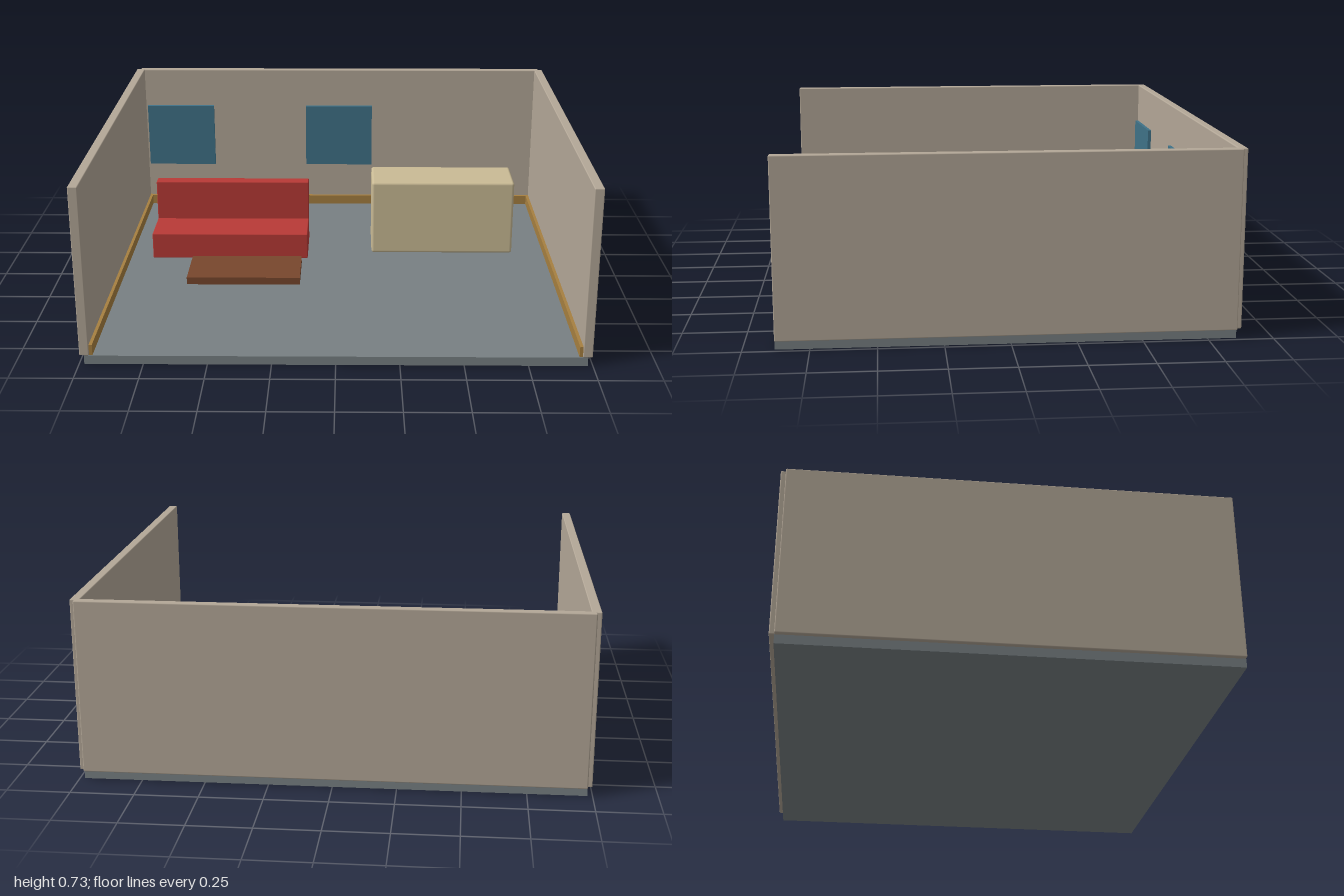
import * as THREE from 'three';
import { RoundedBoxGeometry } from 'three/addons/geometries/RoundedBoxGeometry.js';

function makeMaterial(name, color) {
  const material = new THREE.MeshStandardMaterial({ color });
  material.name = name;
  return material;
}

export function createModel() {
  const room = new THREE.Group();
  room.name = 'livingRoom';

  const plaster = makeMaterial('plaster', 0xb3a797);
  const slate = makeMaterial('slate floor', 0x788083);
  const oak = makeMaterial('oak trim', 0xa67f40);
  const glass = makeMaterial('blue glass', 0x3f7288);
  const red = makeMaterial('red fabric', 0xb83a36);
  const walnut = makeMaterial('walnut', 0x78472d);
  const cream = makeMaterial('cream paint', 0xcabb95);

  // Box given by its limits on each axis, with softened edges when radius > 0
  function box(name, material, [x0, x1], [y0, y1], [z0, z1], radius = 0, parent = room) {
    const size = [x1 - x0, y1 - y0, z1 - z0];
    const geometry = radius
      ? new RoundedBoxGeometry(...size, 2, radius)
      : new THREE.BoxGeometry(...size);
    const mesh = new THREE.Mesh(geometry, material);
    mesh.name = name;
    mesh.position.set((x0 + x1) / 2, (y0 + y1) / 2, (z0 + z1) / 2);
    parent.add(mesh);
    return mesh;
  }

  // Floor slab and back wall
  box('floor', slate, [-0.98, 0.98], [0, 0.036], [-0.86, 0.88]);
  box('backWall', plaster, [-0.98, 0.98], [0.036, 0.732], [-0.88, -0.845], 0.005);
  box('backSkirting', oak, [-0.96, 0.96], [0.036, 0.08], [-0.845, -0.83]);

  // Side walls with their skirtings
  for (const [side, s] of [['left', 1], ['right', -1]]) {
    const span = (a, b) => [Math.min(s * a, s * b), Math.max(s * a, s * b)];
    box(side + 'Wall', plaster, span(0.96, 0.998), [0.036, 0.732], [-0.86, 0.88], 0.004);
    box(side + 'Skirting', oak, span(0.947, 0.96), [0.036, 0.08], [-0.845, 0.875]);
  }

  // Window panels on the back wall
  for (const x of [-0.787, -0.002]) {
    box('window', glass, [x - 0.164, x + 0.164], [0.247, 0.55], [-0.845, -0.83]);
  }

  // Sofa: seat block and backrest
  const sofa = new THREE.Group();
  sofa.name = 'sofa';
  room.add(sofa);
  box('sofaSeat', red, [-0.829, -0.135], [0.08, 0.196], [-0.25, 0], 0.004, sofa);
  box('sofaBack', red, [-0.829, -0.135], [0.08, 0.374], [-0.252, -0.196], 0.004, sofa);

  // Low table top
  box('tableTop', walnut, [-0.632, -0.156], [0.122, 0.153], [0.15, 0.386]);

  // Cabinet with rounded edges
  box('cabinet', cream, [0.154, 0.8], [0.042, 0.385], [-0.392, -0.16], 0.012);

  return room;
}
